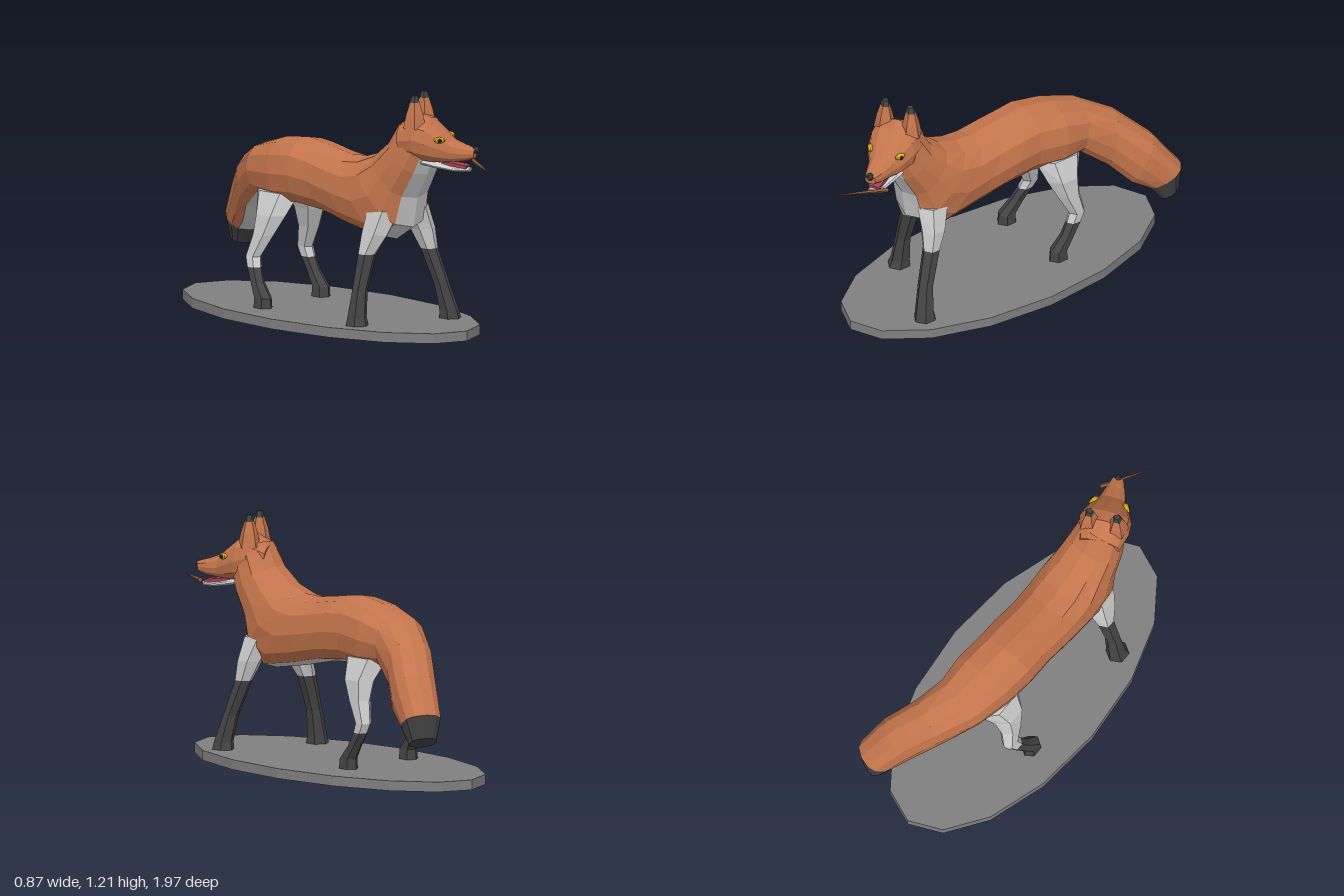
import * as THREE from 'three';

const ORANGE = 0xc4754c, WHITE = 0xcccccc, DARK = 0x444444;
const mat = (color) => new THREE.MeshStandardMaterial({ color, flatShading: true });

function add(parent, name, geometry, color) {
  const mesh = new THREE.Mesh(geometry, mat(color));
  mesh.name = name;
  parent.add(mesh);
  return mesh;
}

// Skin over rings of points; faces lists which strips around the ring are used
function skin(parent, name, rings, color, { faces, start = false, end = false } = {}) {
  const n = rings[0].length, pos = [];
  const tri = (...pts) => pts.forEach((p) => pos.push(p.x, p.y, p.z));
  for (let i = 0; i < rings.length - 1; i++) {
    for (const j of faces || rings[0].keys()) {
      const k = (j + 1) % n, a = rings[i], b = rings[i + 1];
      tri(a[j], a[k], b[j]);
      tri(a[k], b[k], b[j]);
    }
  }
  const first = rings[0], last = rings[rings.length - 1];
  for (let j = 1; j < n - 1; j++) {
    if (start) tri(first[0], first[j + 1], first[j]);
    if (end) tri(last[0], last[j], last[j + 1]);
  }
  const g = new THREE.BufferGeometry();
  g.setAttribute('position', new THREE.Float32BufferAttribute(pos, 3));
  g.computeVertexNormals();
  return add(parent, name, g, color);
}

// Ring between a top and a bottom point: [x, topY, topZ, bottomY, bottomZ, halfWidth, yaw]
const ANGLES = [0, 30, 60, 90, 118, 145, 180, 215, 242, 270, 300, 330];
const soft = (v) => Math.sign(v) * Math.abs(v) ** 0.85;
function bodyRing([x, ty, tz, by, bz, w, yaw = 0]) {
  return ANGLES.map((deg) => {
    const a = THREE.MathUtils.degToRad(deg), c = soft(Math.cos(a)), s = soft(Math.sin(a));
    const dz = (tz - bz) / 2 * c;
    return new THREE.Vector3(
      x - Math.tan(yaw) * dz + Math.cos(yaw) * w * s,
      (ty + by) / 2 + (ty - by) / 2 * c,
      (tz + bz) / 2 + dz + Math.sin(yaw) * w * s);
  });
}

// Level ring for legs and ears: [x, y, z, radiusX, radiusZ], listed from the bottom up
function levelRing([x, y, z, rx, rz], sides) {
  return Array.from({ length: sides }, (_, i) => {
    const a = (i / sides) * Math.PI * 2;
    return new THREE.Vector3(x + rx * Math.sin(a), y, z + rz * Math.cos(a));
  });
}

function twoTone(parent, name, sections, split, sides, lowColor, highColor) {
  const part = new THREE.Group();
  part.name = name;
  parent.add(part);
  const rings = sections.map((s) => levelRing(s, sides));
  skin(part, name + 'Lower', rings.slice(0, split + 1), lowColor, { start: true });
  skin(part, name + 'Upper', rings.slice(split), highColor, { end: true });
}

const UPPER = [0, 1, 2, 3, 4, 7, 8, 9, 10, 11], UNDER = [5, 6];

function buildBody(parent) {
  const rings = [
    [-0.01, 1.08, 0.49, 0.89, 0.65, 0.12],
    [-0.01, 0.96, 0.415, 0.81, 0.62, 0.14],
    [-0.01, 0.885, 0.32, 0.68, 0.55, 0.155],
    [-0.01, 0.85, 0.21, 0.53, 0.525, 0.175],
    [-0.01, 0.845, 0.11, 0.455, 0.41, 0.175],
    [-0.01, 0.86, 0, 0.49, 0.2, 0.17],
    [0, 0.88, -0.12, 0.535, 0.0, 0.17],
    [0, 0.89, -0.2, 0.55, -0.18, 0.17],
    [0.02, 0.87, -0.36, 0.54, -0.33, 0.17],
    [0.04, 0.82, -0.52, 0.56, -0.48, 0.145, 0.2],
    [0.12, 0.735, -0.68, 0.45, -0.63, 0.12, 0.45],
    [0.21, 0.59, -0.83, 0.35, -0.72, 0.115, 0.5],
    [0.265, 0.41, -0.955, 0.31, -0.8, 0.1, 0.5],
    [0.275, 0.29, -0.945, 0.23, -0.86, 0.07, 0.5],
  ].map(bodyRing);
  skin(parent, 'coat', rings.slice(0, 13), ORANGE, { faces: UPPER });
  skin(parent, 'chestAndBelly', rings.slice(0, 13), WHITE, { faces: UNDER });
  skin(parent, 'tailTip', rings.slice(12), DARK, { end: true });
}

function buildLegs(parent) {
  twoTone(parent, 'leftFrontLeg', [
    [0.205, 0.05, 0.57, 0.055, 0.06], [0.2, 0.09, 0.57, 0.05, 0.05],
    [0.175, 0.22, 0.545, 0.042, 0.038], [0.145, 0.4, 0.485, 0.045, 0.045],
    [0.125, 0.5, 0.46, 0.065, 0.065], [0.08, 0.62, 0.43, 0.08, 0.09],
  ], 3, 6, DARK, WHITE);
  twoTone(parent, 'rightFrontLeg', [
    [-0.26, 0.05, 0.375, 0.058, 0.06], [-0.255, 0.09, 0.37, 0.05, 0.05],
    [-0.235, 0.22, 0.37, 0.042, 0.038], [-0.18, 0.4, 0.37, 0.05, 0.045],
    [-0.145, 0.5, 0.39, 0.065, 0.08], [-0.1, 0.62, 0.41, 0.08, 0.1],
  ], 3, 6, DARK, WHITE);
  // Hind legs share one shape; x runs from paw to hip
  const hind = [
    [0.05, -0.285, 0.045, 0.055], [0.1, -0.285, 0.042, 0.05], [0.17, -0.335, 0.035, 0.038],
    [0.24, -0.375, 0.035, 0.042], [0.29, -0.395, 0.038, 0.045], [0.4, -0.355, 0.05, 0.065],
    [0.5, -0.335, 0.068, 0.095], [0.61, -0.34, 0.075, 0.14],
  ];
  const pawToHip = {
    leftHindLeg: [0.18, 0.18, 0.185, 0.185, 0.185, 0.17, 0.15, 0.105],
    rightHindLeg: [-0.24, -0.24, -0.225, -0.205, -0.19, -0.16, -0.125, -0.07],
  };
  for (const [name, xs] of Object.entries(pawToHip)) {
    twoTone(parent, name, hind.map(([y, z, rx, rz], i) => [xs[i], y, z, rx, rz]), 3, 6, DARK, WHITE);
  }
}

function buildHead(parent) {
  const head = new THREE.Group();
  head.name = 'head';
  head.position.set(-0.015, 0, 0.57);
  head.rotation.y = 0.42;
  parent.add(head);

  // Skull and muzzle, from the nose back
  const skull = [
    [0, 0.955, 0.295, 0.9, 0.29, 0.03],
    [0, 0.97, 0.24, 0.885, 0.24, 0.05],
    [0, 0.995, 0.175, 0.875, 0.175, 0.07],
    [0, 1.04, 0.125, 0.87, 0.13, 0.1],
    [0, 1.095, 0.06, 0.87, 0.07, 0.128],
    [0, 1.115, 0, 0.88, 0, 0.132],
    [0, 1.06, -0.09, 0.9, -0.08, 0.105],
  ].map(bodyRing);
  skin(head, 'skull', skull, ORANGE, { faces: UPPER, start: true, end: true });
  skin(head, 'upperLip', skull, WHITE, { faces: UNDER });

  // Open lower jaw with tongue
  const jaw = [
    [0, 0.855, 0.27, 0.832, 0.265, 0.025],
    [0, 0.855, 0.2, 0.83, 0.2, 0.045],
    [0, 0.88, 0.1, 0.845, 0.1, 0.07],
    [0, 0.9, 0.03, 0.86, 0.03, 0.08],
  ].map(bodyRing);
  skin(head, 'lowerJaw', jaw, WHITE, { start: true, end: true });
  const tongue = add(head, 'tongue', new THREE.BoxGeometry(0.06, 0.016, 0.13), 0xa83f58);
  tongue.position.set(0, 0.866, 0.19);
  tongue.rotation.x = 0.12;

  const nose = add(head, 'nose', new THREE.IcosahedronGeometry(0.022), DARK);
  nose.position.set(0, 0.945, 0.293);

  for (const side of [1, -1]) {
    const label = side > 0 ? 'left' : 'right';
    twoTone(head, label + 'Ear', [
      [side * 0.075, 1.05, 0.0, 0.055, 0.06], [side * 0.074, 1.12, 0.0, 0.042, 0.045],
      [side * 0.072, 1.18, 0.0, 0.026, 0.025], [side * 0.07, 1.212, 0.0, 0.017, 0.016],
    ], 2, 5, ORANGE, DARK);
    const eye = new THREE.Group();
    eye.name = label + 'Eye';
    eye.position.set(side * 0.084, 0.998, 0.133);
    eye.rotation.y = -side * 0.5;
    head.add(eye);
    add(eye, 'iris', new THREE.SphereGeometry(1, 8, 6), 0xd8ac1c).scale.set(0.016, 0.016, 0.03);
    const pupil = add(eye, 'pupil', new THREE.SphereGeometry(1, 6, 5), 0x222222);
    pupil.scale.set(0.008, 0.011, 0.013);
    pupil.position.x = side * 0.012;
  }
}

export function createModel() {
  const model = new THREE.Group();
  model.name = 'foxOnBase';

  // Oval base
  const base = add(model, 'base', new THREE.CylinderGeometry(1, 1, 0.05, 16), 0x808080);
  base.scale.set(0.437, 1, 0.925);
  base.position.set(0, 0.025, -0.045);

  buildBody(model);
  buildLegs(model);
  buildHead(model);

  // Tapered stick held in the mouth
  const from = new THREE.Vector3(0.165, 0.872, 0.77), to = new THREE.Vector3(0.03, 0.86, 1.0);
  const dir = to.clone().sub(from);
  const stick = add(model, 'stick', new THREE.CylinderGeometry(0.002, 0.013, dir.length(), 5), 0x8a5a3a);
  stick.position.copy(from).addScaledVector(dir, 0.5);
  stick.quaternion.setFromUnitVectors(new THREE.Vector3(0, 1, 0), dir.normalize());
  return model;
}
